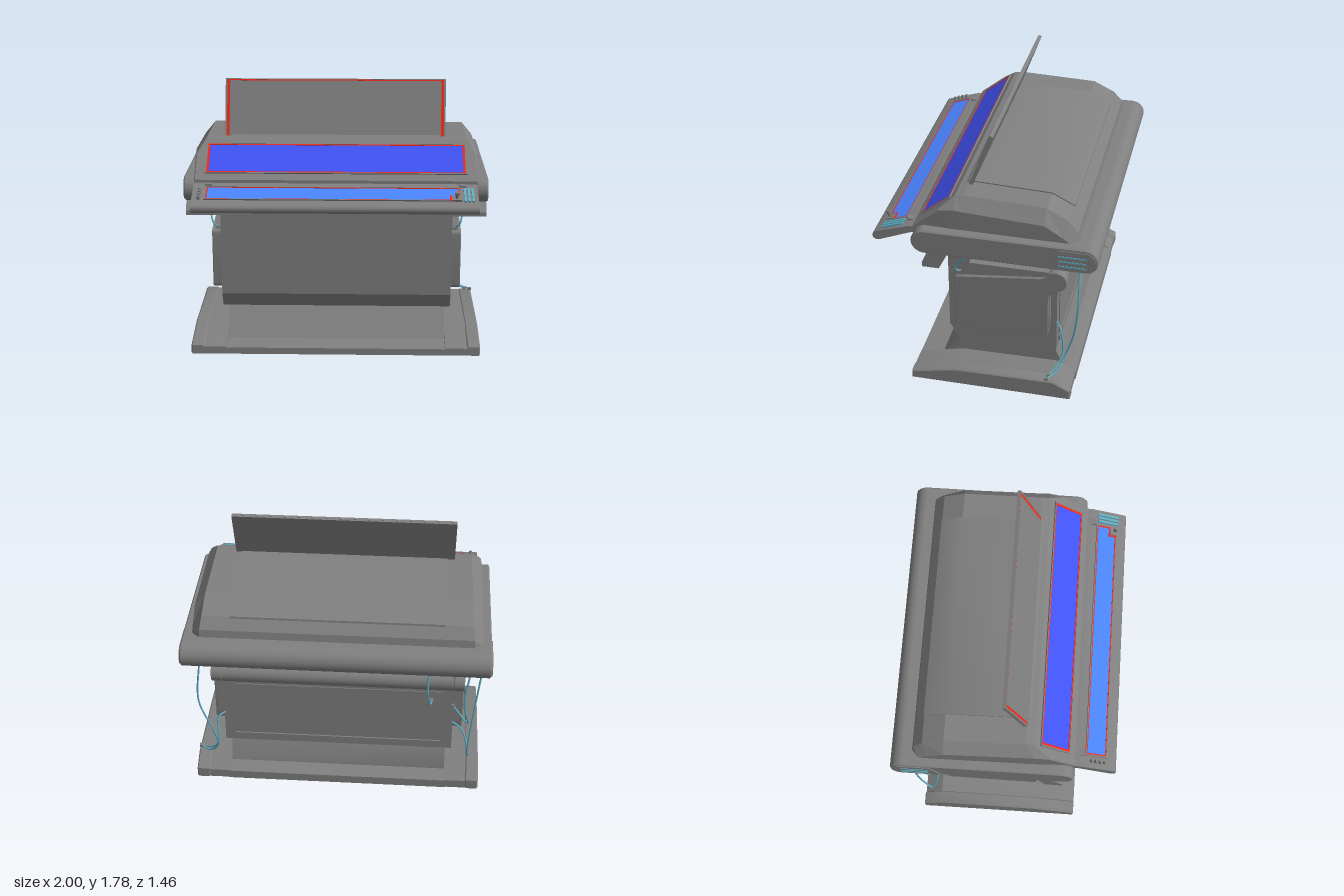
import * as THREE from 'three';
import { toCreasedNormals } from 'three/addons/utils/BufferGeometryUtils.js';

const mat = (color) => new THREE.MeshStandardMaterial({ color });
const grey = mat(0x808080), red = mat(0xf02818), teal = mat(0x5fb0c6);

export function createModel() {
  const model = new THREE.Group();

  const add = (name, geometry, material = grey, parent = model) => {
    const mesh = new THREE.Mesh(geometry, material);
    mesh.name = name;
    parent.add(mesh);
    return mesh;
  };
  const box = (name, w, h, d, x, y, z, material = grey, parent = model) => {
    const mesh = add(name, new THREE.BoxGeometry(w, h, d), material, parent);
    mesh.position.set(x, y, z);
    return mesh;
  };
  // Side profile (array of [z, y] or a Shape) extruded across x from x0 to x1
  const across = (name, profile, x0, x1, bevel = 0) => {
    const shape = Array.isArray(profile)
      ? new THREE.Shape(profile.map(([z, y]) => new THREE.Vector2(z, y))) : profile;
    const geo = new THREE.ExtrudeGeometry(shape, {
      depth: x1 - x0 - 2 * bevel, curveSegments: 12, bevelEnabled: bevel > 0,
      bevelSize: bevel, bevelThickness: bevel, bevelOffset: -bevel, bevelSegments: 1,
    });
    geo.rotateY(-Math.PI / 2).translate(x1 - bevel, 0, 0);
    return add(name, toCreasedNormals(geo, 0.5));
  };
  // The same part on both sides
  const bothSides = (name, profile, x0, x1, bevel) => {
    across(name + 'Left', profile, x0, x1, bevel);
    across(name + 'Right', profile, -x1, -x0, bevel);
  };
  // Tilted plane to carry screens and controls; its local y is the face normal
  const tilted = (name, x, y, z, tilt) => {
    const group = new THREE.Group();
    group.name = name;
    group.position.set(x, y, z);
    group.rotation.x = tilt;
    model.add(group);
    return group;
  };
  // Rectangular frame around an opening of w by d
  const frame = (name, w, d, sideWidth, edgeWidth, h, material, parent) => {
    for (const s of [-1, 1]) {
      box(name + 'Side', sideWidth, h, d + 2 * edgeWidth, s * (w + sideWidth) / 2, 0, 0, material, parent);
      box(name + 'Edge', w, h, edgeWidth, 0, 0, s * (d + edgeWidth) / 2, material, parent);
    }
  };
  // Glass with a red rim, inside a grey bezel that stands slightly proud
  const screen = (group, w, d, side, edge, color) => {
    box('screenGlass', w, 0.008, d, 0, 0, 0, mat(color), group);
    frame('screenRim', w, d, side, edge, 0.012, red, group);
    frame('screenBezel', w + 2 * side, d + 2 * edge, 0.01, 0.006, 0.016, grey, group);
  };

  // Base: centre strip, inner wings and taller end pieces
  across('baseCentre', [[0.5, 0], [0.5, 0.045], [0.3, 0.06], [-0.45, 0.1], [-0.57, 0.06], [-0.57, 0]], -0.75, 0.75);
  bothSides('baseWing', [[0.5, 0], [0.5, 0.05], [0.2, 0.115], [-0.45, 0.125], [-0.565, 0.06], [-0.565, 0]], 0.735, 0.89);
  bothSides('baseEnd', [[0.5, 0], [0.5, 0.06], [0.2, 0.12], [-0.45, 0.13], [-0.57, 0.07], [-0.57, 0]], 0.88, 0.968, 0.008);
  across('neck', [[0.36, 0.04], [0.19, 0.25], [-0.41, 0.25], [-0.48, 0.1], [-0.48, 0.04]], -0.735, 0.735);

  // Body with side plates
  across('body', [[0.28, 1.05], [0.28, 0.35], [0.22, 0.245], [-0.44, 0.245], [-0.44, 1.05]], -0.725, 0.725);
  bothSides('sidePlate', [[0.28, 0.91], [0.28, 0.35], [0.22, 0.245], [-0.44, 0.245], [-0.44, 0.91]], 0.7, 0.775);
  bothSides('sideBacking', [[0.2, 0.79], [0.13, 0.89], [-0.4, 0.89], [-0.4, 0.45], [0.2, 0.45]], 0.76, 0.82);
  box('backPanel', 1.4, 0.4, 0.012, 0, 0.53, -0.44);
  box('backLedge', 1.4, 0.04, 0.024, 0, 0.29, -0.438);
  const roll = add('backRoll', new THREE.CylinderGeometry(0.07, 0.07, 1.56, 24));
  roll.rotation.z = Math.PI / 2;
  roll.position.set(0, 0.83, -0.435);

  // Side pods with a rounded rear shoulder
  const pod = new THREE.Shape();
  pod.moveTo(0.2, 0.38);
  pod.quadraticCurveTo(0.225, 0.38, 0.225, 0.41);
  pod.lineTo(0.225, 0.76);
  pod.quadraticCurveTo(0.225, 0.785, 0.19, 0.79);
  pod.lineTo(-0.34, 0.85);
  pod.quadraticCurveTo(-0.375, 0.86, -0.39, 0.885);
  pod.absarc(-0.44, 0.835, 0.072, Math.PI * 0.25, Math.PI * 1.25, false);
  pod.lineTo(-0.42, 0.745);
  pod.quadraticCurveTo(-0.395, 0.73, -0.395, 0.7);
  pod.lineTo(-0.395, 0.42);
  pod.quadraticCurveTo(-0.395, 0.395, -0.37, 0.395);
  bothSides('sidePod', pod, 0.77, 0.84, 0.004);

  // Desk slab with round front and rear edges
  const slab = new THREE.Shape();
  slab.absarc(0.375, 1.125, 0.083, -Math.PI / 2, Math.PI / 2, false);
  slab.absarc(-0.645, 1.125, 0.085, Math.PI / 2, Math.PI * 1.5, false);
  across('deskSlab', slab, -0.993, 0.993, 0.008);
  across('frontLip', [[0.39, 0.94], [0.39, 0.97], [0.3, 1.06], [0.22, 1.06], [0.28, 0.94]], -0.99, 0.99);

  // Side vents
  const vent = new THREE.Shape();
  vent.moveTo(-0.395, 1.05);
  vent.lineTo(-0.475, 1.19);
  vent.absarc(-0.645, 1.12, 0.07, Math.PI / 2, Math.PI * 1.5, false);
  bothSides('ventPanel', vent, 0.97, 0.999);
  for (const s of [-1, 1]) for (const y of [1.08, 1.115, 1.15])
    box('ventSlat', 0.01, 0.009, 0.175, s * 0.997, y, -0.57, teal);

  // Hood: side rail (x, z, y) and top rail (x, z, y) at each station, front to back
  const stations = [
    [0.92, 0.46, 1.13, 0.915, 0.46, 1.13], [0.92, 0.46, 1.19, 0.915, 0.46, 1.2],
    [0.925, 0.29, 1.328, 0.915, 0.29, 1.337], [0.93, 0.19, 1.345, 0.865, 0.2, 1.41],
    [0.93, 0.13, 1.34, 0.86, 0.14, 1.42], [0.935, -0.38, 1.315, 0.865, -0.38, 1.4],
    [0.935, -0.5, 1.24, 0.87, -0.52, 1.33], [0.935, -0.55, 1.2, 0.88, -0.58, 1.26],
    [0.935, -0.57, 1.13, 0.89, -0.605, 1.13],
  ];
  const verts = [], faces = [];
  stations.forEach(([xs, zs, ys, xt, zt, yt], i) => {
    verts.push(-xs, 1.13, zs, -xs, ys, zs, -xt, yt, zt, xt, yt, zt, xs, ys, zs, xs, 1.13, zs);
    if (i === 0) return;
    for (let j = 0; j < 5; j++) {
      const a = (i - 1) * 6 + j, d = a + 6;
      faces.push(a, a + 1, d + 1, a, d + 1, d);
    }
  });
  const hood = new THREE.BufferGeometry();
  hood.setAttribute('position', new THREE.Float32BufferAttribute(verts, 3));
  hood.setIndex(faces);
  add('hood', toCreasedNormals(hood, 0.1));
  across('hoodTopPlate', [[0.18, 1.405], [0.15, 1.428], [-0.382, 1.408], [-0.525, 1.335], [-0.53, 1.3], [0.1, 1.3]], -0.69, 0.69);

  // Main sloping screen
  screen(tilted('mainScreen', 0, 1.31, 0.327, 0.68), 1.66, 0.215, 0.014, 0.008, 0x4054f6);

  // Raised upper screen
  const upper = tilted('upperScreen', -0.01, 1.59, 0.072, 1.21);
  box('upperScreenBacking', 1.47, 0.022, 0.4, 0, -0.006, 0, grey, upper);
  screen(upper, 1.41, 0.376, 0.018, 0.007, 0x1b1be6);
  for (const s of [-1, 1]) box('upperScreenInnerRim', 0.014, 0.012, 0.374, s * 0.698, 0, 0, grey, upper);

  // Control shelf in front of the desk
  const shelf = new THREE.Shape();
  shelf.moveTo(0.44, 1.14);
  shelf.lineTo(0.48, 1.135);
  shelf.lineTo(0.68, 1.055);
  shelf.absarc(0.702, 1.08, 0.03, -Math.PI * 0.6, Math.PI * 0.4, false);
  shelf.lineTo(0.49, 1.18);
  shelf.lineTo(0.44, 1.18);
  across('controlShelf', shelf, -0.917, 0.915);
  const controls = tilted('controls', 0, 1.144, 0.595, 0.32);
  const strip = new THREE.Group();
  strip.name = 'controlScreen';
  strip.position.set(-0.015, 0.003, 0);
  controls.add(strip);
  screen(strip, 1.61, 0.122, 0.008, 0.006, 0x4a84ff);
  for (const x of [0.83, 0.855, 0.88]) box('slider', 0.014, 0.02, 0.145, x, 0.004, 0.01, teal, controls);
  for (let i = 0; i < 4; i++) {
    const knob = add('knob', new THREE.CylinderGeometry(0.01, 0.012, 0.03, 12), grey, controls);
    knob.position.set(-0.87, 0.012, -0.03 + i * 0.03);
  }
  box('joystickSurround', 0.066, 0.012, 0.056, 0.765, 0.006, 0.045, red, controls);
  box('joystickBase', 0.058, 0.016, 0.05, 0.772, 0.008, 0.05, grey, controls);
  const stick = add('joystick', new THREE.CylinderGeometry(0.016, 0.007, 0.05, 12), grey, controls);
  stick.position.set(0.775, 0.036, 0.055);
  for (const s of [-1, 1]) box('shelfHinge', 0.045, 0.014, 0.04, s * 0.82, 1.18, 0.5);

  // Cables with small plugs at both ends
  const cable = (...points) => {
    const path = new THREE.CatmullRomCurve3(points.map((p) => new THREE.Vector3(...p)));
    add('cable', new THREE.TubeGeometry(path, 40, 0.006, 8), teal);
    for (const end of [points[0], points[points.length - 1]]) box('cablePlug', 0.02, 0.018, 0.024, ...end);
  };
  for (const s of [-1, 1])
    cable([s * 0.87, 1.035, 0.15], [s * 0.87, 0.96, 0.15], [s * 0.845, 0.89, 0.2], [s * 0.83, 0.84, 0.22], [s * 0.8, 0.8, 0.2]);
  // Left side, running down to the base
  cable([0.89, 1.035, -0.6], [0.915, 0.7, -0.6], [0.84, 0.42, -0.56], [0.82, 0.25, -0.51], [0.88, 0.16, -0.47], [0.96, 0.145, -0.41]);
  cable([0.76, 0.48, -0.43], [0.81, 0.46, -0.47], [0.82, 0.25, -0.49], [0.87, 0.17, -0.45], [0.92, 0.145, -0.42]);
  // Right side, looping back into the body
  cable([-0.6, 1.035, -0.6], [-0.6, 0.82, -0.59], [-0.62, 0.7, -0.54], [-0.63, 0.67, -0.455]);
  cable([-0.94, 1.035, -0.6], [-0.9, 0.65, -0.6], [-0.88, 0.33, -0.56], [-0.89, 0.25, -0.51], [-0.84, 0.43, -0.46], [-0.76, 0.48, -0.43]);
  cable([-0.87, 1.035, -0.595], [-0.84, 0.75, -0.59], [-0.87, 0.54, -0.52], [-0.77, 0.62, -0.44]);

  return model;
}
